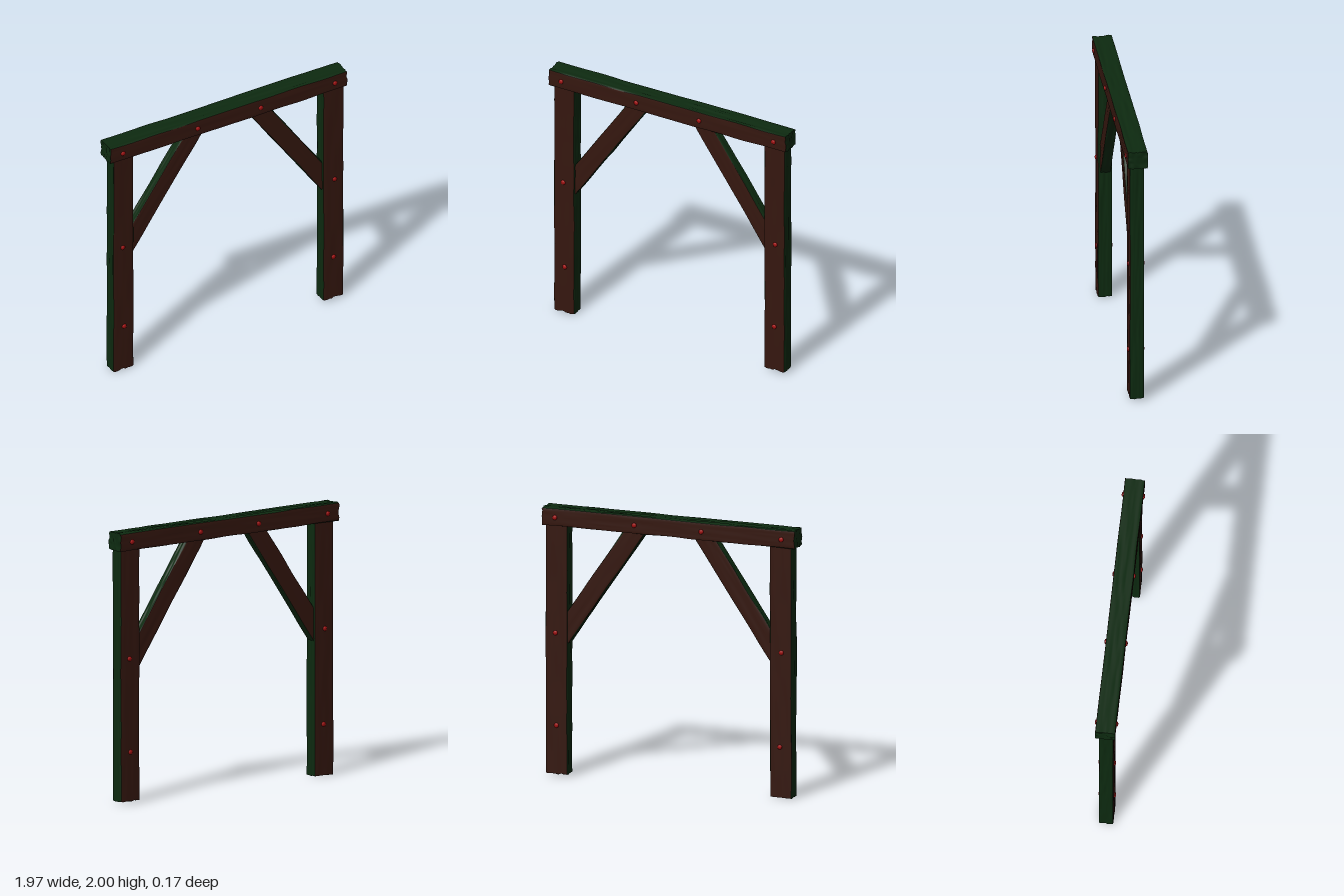
import * as THREE from 'three';

const faceWood = new THREE.MeshStandardMaterial({ color: 0x35170f });
const grainWood = new THREE.MeshStandardMaterial({ color: 0x0d2a10 });
const pegRed = new THREE.MeshStandardMaterial({ color: 0xa01010 });

// Repeatable value noise in two dimensions, range -1..1
function hash(i, j, seed) {
  const s = Math.sin(i * 127.1 + j * 311.7 + seed * 74.7) * 43758.5453;
  return (s - Math.floor(s)) * 2 - 1;
}
function noise(u, v, seed) {
  const i = Math.floor(u), j = Math.floor(v);
  const a = THREE.MathUtils.smoothstep(u - i, 0, 1);
  const b = THREE.MathUtils.smoothstep(v - j, 0, 1);
  const low = THREE.MathUtils.lerp(hash(i, j, seed), hash(i + 1, j, seed), a);
  const high = THREE.MathUtils.lerp(hash(i, j + 1, seed), hash(i + 1, j + 1, seed), a);
  return THREE.MathUtils.lerp(low, high, b);
}

// Weathered timber along y: broad faces on +-z, grooved edges on +-x, ragged ends
function timber(name, width, length, depth, seed) {
  const geo = new THREE.BoxGeometry(width, length, depth, 10, Math.round(length * 40), 12);
  const pos = geo.attributes.position;
  const p = new THREE.Vector3();
  for (let i = 0; i < pos.count; i++) {
    p.fromBufferAttribute(pos, i);
    const { x, y, z } = p;
    const onX = Math.abs(x) > width / 2 - 1e-4;
    const onY = Math.abs(y) > length / 2 - 1e-4;
    const onZ = Math.abs(z) > depth / 2 - 1e-4;
    if (onX) p.x -= Math.sign(x) * (0.003 + 0.004 * noise(z * 85, y * 5, seed + Math.sign(x)));
    if (onZ) p.z -= Math.sign(z) * (0.001 + 0.0015 * noise(x * 50, y * 4, seed + 5 + Math.sign(z)));
    if (onY) p.y -= Math.sign(y) * (0.005 + 0.006 * noise(x * 50, z * 70, seed + 9 + Math.sign(y)));
    // Worn corners
    if (onX && onZ) {
      p.x -= Math.sign(x) * 0.003;
      p.z -= Math.sign(z) * 0.002;
    }
    pos.setXYZ(i, p.x, p.y, p.z);
  }
  geo.computeVertexNormals();

  // Broad faces and grained edges carry different colours
  const index = Array.from(geo.index.array);
  const split = geo.groups[4].start;
  const edges = geo.clone().setIndex(index.slice(0, split));
  const faces = geo.clone().setIndex(index.slice(split));
  edges.clearGroups();
  faces.clearGroups();
  const group = new THREE.Group();
  group.name = name;
  const edgeMesh = new THREE.Mesh(edges, grainWood);
  edgeMesh.name = name + 'Edges';
  const faceMesh = new THREE.Mesh(faces, faceWood);
  faceMesh.name = name + 'Faces';
  group.add(edgeMesh, faceMesh);
  return group;
}

// Domed peg head, standing on its base along +y
const pegProfile = [[0.018, -0.01], [0.018, 0.005], [0.015, 0.009], [0.009, 0.012], [0, 0.013]]
  .map(([r, y]) => new THREE.Vector2(r, y));
const pegGeometry = new THREE.LatheGeometry(pegProfile, 14);

export function createModel() {
  const model = new THREE.Group();
  model.name = 'timberFrame';

  // Top beam
  const beam = timber('topBeam', 0.137, 1.965, 0.146, 3);
  beam.rotation.z = Math.PI / 2;
  beam.position.set(-0.004, 1.932, 0);
  model.add(beam);

  // Posts, one slightly shorter at the foot
  const posts = [['rightPost', -0.866, 0.005, 21], ['leftPost', 0.873, 0.02, 37]];
  for (const [name, x, foot, seed] of posts) {
    const post = timber(name, 0.174, 1.9 - foot, 0.106, seed);
    post.position.set(x, (1.9 + foot) / 2, 0.004);
    model.add(post);
  }

  // Diagonal braces, their ends buried in the post and the beam
  for (const side of [-1, 1]) {
    const low = new THREE.Vector2(side * 0.785, 1.12);
    const high = new THREE.Vector2(side * 0.277, 1.865);
    const dir = high.clone().sub(low).normalize();
    low.addScaledVector(dir, -0.105);
    high.addScaledVector(dir, 0.055);
    const brace = timber(side < 0 ? 'rightBrace' : 'leftBrace', 0.145, low.distanceTo(high), 0.076, 50 + side * 7);
    brace.position.set((low.x + high.x) / 2, (low.y + high.y) / 2, 0.002);
    brace.rotation.z = Math.atan2(-dir.x, dir.y);
    model.add(brace);
  }

  // Peg heads on the front and back: x, y, half depth of the timber, its centre in z
  const pegs = [
    [-0.88, 1.93, 0.073, 0], [-0.26, 1.93, 0.073, 0], [0.26, 1.93, 0.073, 0], [0.875, 1.93, 0.073, 0],
    [-0.872, 1.085, 0.052, 0.004], [-0.86, 0.385, 0.052, 0.004],
    [0.88, 1.07, 0.052, 0.004], [0.872, 0.385, 0.052, 0.004],
  ];
  for (const [x, y, half, mid] of pegs) {
    for (const side of [1, -1]) {
      const peg = new THREE.Mesh(pegGeometry, pegRed);
      peg.name = side > 0 ? 'frontPeg' : 'backPeg';
      peg.position.set(x, y, mid + side * (half - 0.001));
      peg.rotation.x = side * Math.PI / 2;
      model.add(peg);
    }
  }
  return model;
}
